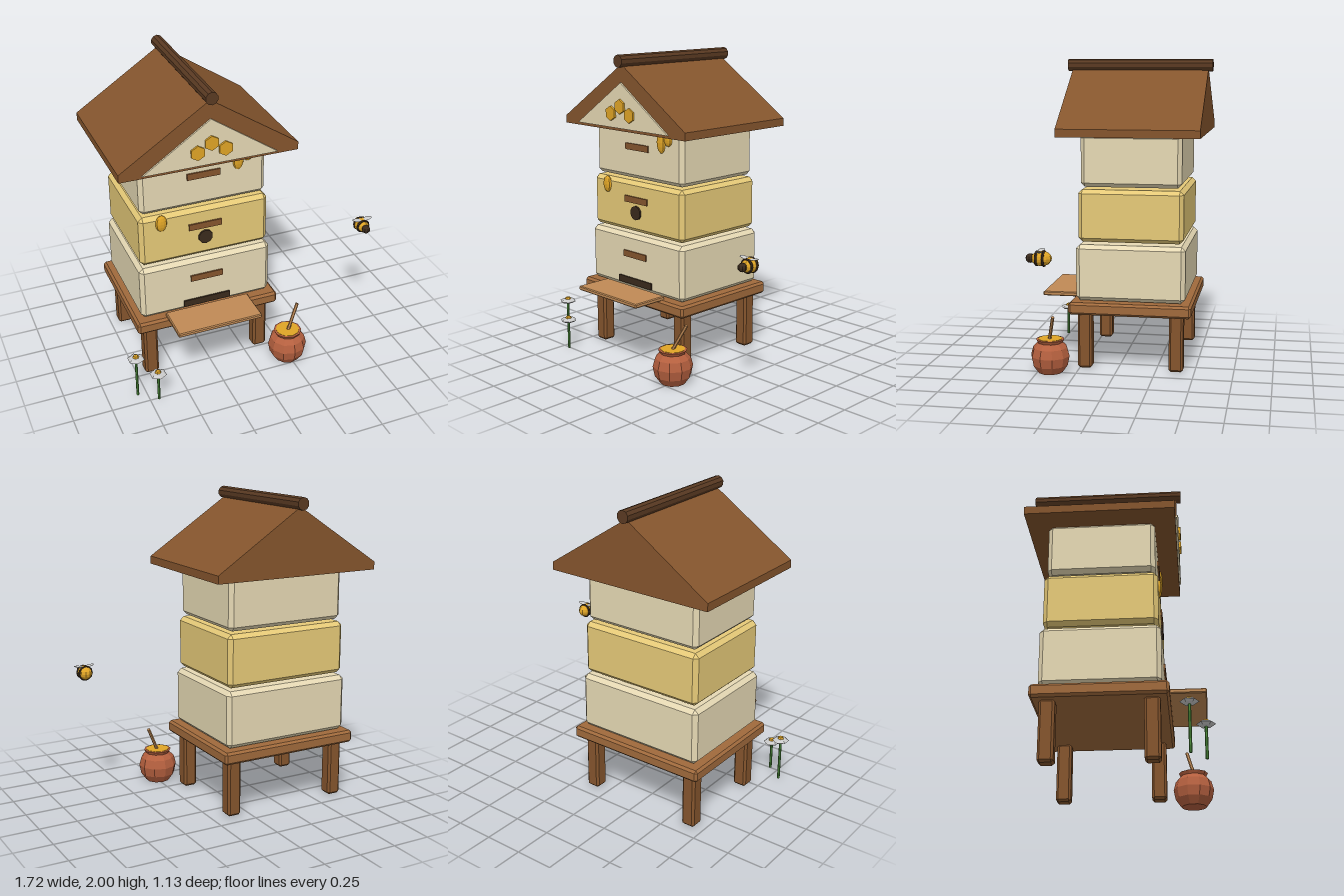
import * as THREE from 'three';
import { ConvexGeometry } from 'three/addons/geometries/ConvexGeometry.js';

const mat = (color, side = THREE.FrontSide) =>
  new THREE.MeshStandardMaterial({ color, flatShading: true, side });

const CREAM = mat(0xe6d9b4), YELLOW = mat(0xe6ca78), WOOD = mat(0x85552d), PLANK = mat(0xa06a3c),
  BOARD = mat(0xc08a55), DARK = mat(0x3a2a1c), RIDGE = mat(0x5a3a22), HONEY = mat(0xe0a526),
  CLAY = mat(0xb5603f, THREE.DoubleSide), WHITE = mat(0xf2f2f2), GREEN = mat(0x4c8c3a), ROOF = mat(0x85552d);

// Box with every edge cut at 45 degrees
function chamferBox(w, h, d, c) {
  const pts = [];
  for (const x of [-1, 1]) for (const y of [-1, 1]) for (const z of [-1, 1])
    for (let k = 0; k < 3; k++) {
      const i = [c, c, c];
      i[k] = 0;
      pts.push(new THREE.Vector3(x * (w / 2 - i[0]), y * (h / 2 - i[1]), z * (d / 2 - i[2])));
    }
  return new ConvexGeometry(pts);
}

function add(parent, name, geometry, material, x = 0, y = 0, z = 0) {
  const mesh = new THREE.Mesh(geometry, material);
  mesh.name = name;
  mesh.position.set(x, y, z);
  parent.add(mesh);
  return mesh;
}

const ellipsoid = (rx, ry, rz, ws = 10, hs = 8) => new THREE.SphereGeometry(1, ws, hs).scale(rx, ry, rz);

// Extrusion of an outline along z, centred on z = 0
function prism(points, depth) {
  const shape = new THREE.Shape(points.map(([x, y]) => new THREE.Vector2(x, y)));
  return new THREE.ExtrudeGeometry(shape, { depth, bevelEnabled: false }).translate(0, 0, -depth / 2);
}

// Cylinder running between two points
function rod(parent, name, a, b, r, material, sides = 6) {
  const dir = b.clone().sub(a);
  const mesh = add(parent, name, new THREE.CylinderGeometry(r, r, dir.length(), sides), material);
  mesh.position.copy(a).add(b).multiplyScalar(0.5);
  mesh.quaternion.setFromUnitVectors(new THREE.Vector3(0, 1, 0), dir.normalize());
}

function makeStand() {
  const g = new THREE.Group();
  g.name = 'stand';
  add(g, 'standTop', chamferBox(0.955, 0.08, 0.792, 0.015), PLANK, 0, 0.413, 0);
  for (const x of [-1, 1]) for (const z of [-1, 1])
    add(g, 'leg', chamferBox(0.092, 0.37, 0.092, 0.014), WOOD, x * 0.381, 0.193, z * 0.297);
  add(g, 'landingBoard', chamferBox(0.56, 0.028, 0.25, 0.006), BOARD, -0.002, 0.461, 0.48);
  return g;
}

function makeHive() {
  const g = new THREE.Group();
  g.name = 'hiveBoxes';
  // Stacked boxes: width, height, depth, centre height, handle height
  const tiers = [
    [0.872, 0.365, 0.706, 0.641, 0.69, CREAM],
    [0.844, 0.338, 0.678, 1.009, 1.057, YELLOW],
    [0.816, 0.338, 0.648, 1.362, 1.402, CREAM],
  ];
  for (const [w, h, d, y, handleY, m] of tiers) {
    add(g, 'hiveBox', chamferBox(w, h, d, 0.026), m, 0, y, 0);
    add(g, 'handle', new THREE.BoxGeometry(0.214, 0.042, 0.02), WOOD, 0, handleY, d / 2);
  }
  add(g, 'entrance', new THREE.BoxGeometry(0.312, 0.044, 0.02), DARK, 0, 0.509, 0.353);
  add(g, 'airHole', new THREE.CylinderGeometry(0.047, 0.047, 0.025, 10).rotateX(Math.PI / 2), DARK, 0, 0.973, 0.339);
  // Honey drips on the front walls
  add(g, 'honeyDrip', ellipsoid(0.037, 0.07, 0.02), HONEY, 0.225, 1.46, 0.325);
  add(g, 'honeyDrip', ellipsoid(0.034, 0.042, 0.018), HONEY, 0.288, 1.482, 0.325);
  add(g, 'honeyDrip', ellipsoid(0.037, 0.055, 0.02), HONEY, -0.283, 1.127, 0.339);
  return g;
}

function makeRoof() {
  const g = new THREE.Group();
  g.name = 'roof';
  add(g, 'roofBody', prism([[-0.563, 1.52], [0.563, 1.52], [0.563, 1.57], [0, 1.94], [-0.563, 1.57]], 0.902), ROOF);
  add(g, 'gablePanel', prism([[-0.425, 1.538], [0.425, 1.538], [0, 1.826]], 0.03), CREAM, 0, 0, 0.447);
  for (const [x, y] of [[0, 1.677], [-0.087, 1.628], [0.087, 1.628]])
    add(g, 'honeycombCell', new THREE.CylinderGeometry(0.047, 0.047, 0.03, 6).rotateX(Math.PI / 2), HONEY, x, y, 0.46);
  add(g, 'ridgePole', new THREE.CylinderGeometry(0.04, 0.04, 0.961, 10).rotateX(Math.PI / 2), RIDGE, 0, 1.96, 0);
  return g;
}

function makePot() {
  const g = new THREE.Group();
  g.name = 'honeyPot';
  const profile = [[0, 0], [0.08, 0], [0.115, 0.05], [0.127, 0.11], [0.112, 0.165], [0.08, 0.197], [0.092, 0.218], [0.076, 0.22], [0.072, 0.195]];
  add(g, 'pot', new THREE.LatheGeometry(profile.map(([x, y]) => new THREE.Vector2(x, y)), 10), CLAY);
  add(g, 'honey', new THREE.CylinderGeometry(0.078, 0.078, 0.02, 10), HONEY, 0, 0.212, 0);
  rod(g, 'dipperStick', new THREE.Vector3(-0.01, 0.19, 0.01), new THREE.Vector3(0.083, 0.382, -0.038), 0.011, BOARD);
  return g;
}

function makeFlower(height) {
  const g = new THREE.Group();
  g.name = 'flower';
  add(g, 'stem', new THREE.CylinderGeometry(0.009, 0.009, height, 6), GREEN, 0, height / 2, 0);
  add(g, 'petals', ellipsoid(0.055, 0.016, 0.055, 6, 4).rotateY(Math.PI / 6), WHITE, 0, height, 0);
  add(g, 'flowerCentre', ellipsoid(0.021, 0.017, 0.021, 6, 4), HONEY, 0, height + 0.013, 0);
  return g;
}

function makeBee() {
  const g = new THREE.Group();
  g.name = 'bee';
  add(g, 'beeBody', ellipsoid(0.045, 0.045, 0.062), HONEY);
  for (const [z, r] of [[-0.015, 0.041], [0.027, 0.038]])
    add(g, 'stripe', new THREE.TorusGeometry(r, 0.009, 6, 12), DARK, 0, 0, z);
  add(g, 'beeHead', ellipsoid(0.028, 0.028, 0.028, 8, 6), DARK, 0, 0, 0.067);
  for (const s of [-1, 1]) {
    const wing = add(g, 'wing', ellipsoid(0.036, 0.005, 0.022, 8, 6), WHITE, s * 0.035, 0.042, 0.008);
    wing.rotation.z = s * 0.15;
  }
  return g;
}

export function createModel() {
  const model = new THREE.Group();
  model.name = 'beehive';
  const hive = new THREE.Group();
  hive.name = 'hive';
  hive.position.set(-0.27, 0, -0.086);
  hive.add(makeStand(), makeHive(), makeRoof());
  model.add(hive);
  const place = (part, x, y, z) => {
    part.position.set(x, y, z);
    model.add(part);
  };
  place(makePot(), 0.238, 0, 0.42);
  place(makeFlower(0.29), -0.807, 0, 0.418);
  place(makeFlower(0.2), -0.693, 0, 0.505);
  place(makeBee(), 0.79, 0.855, 0.332);
  return model;
}
